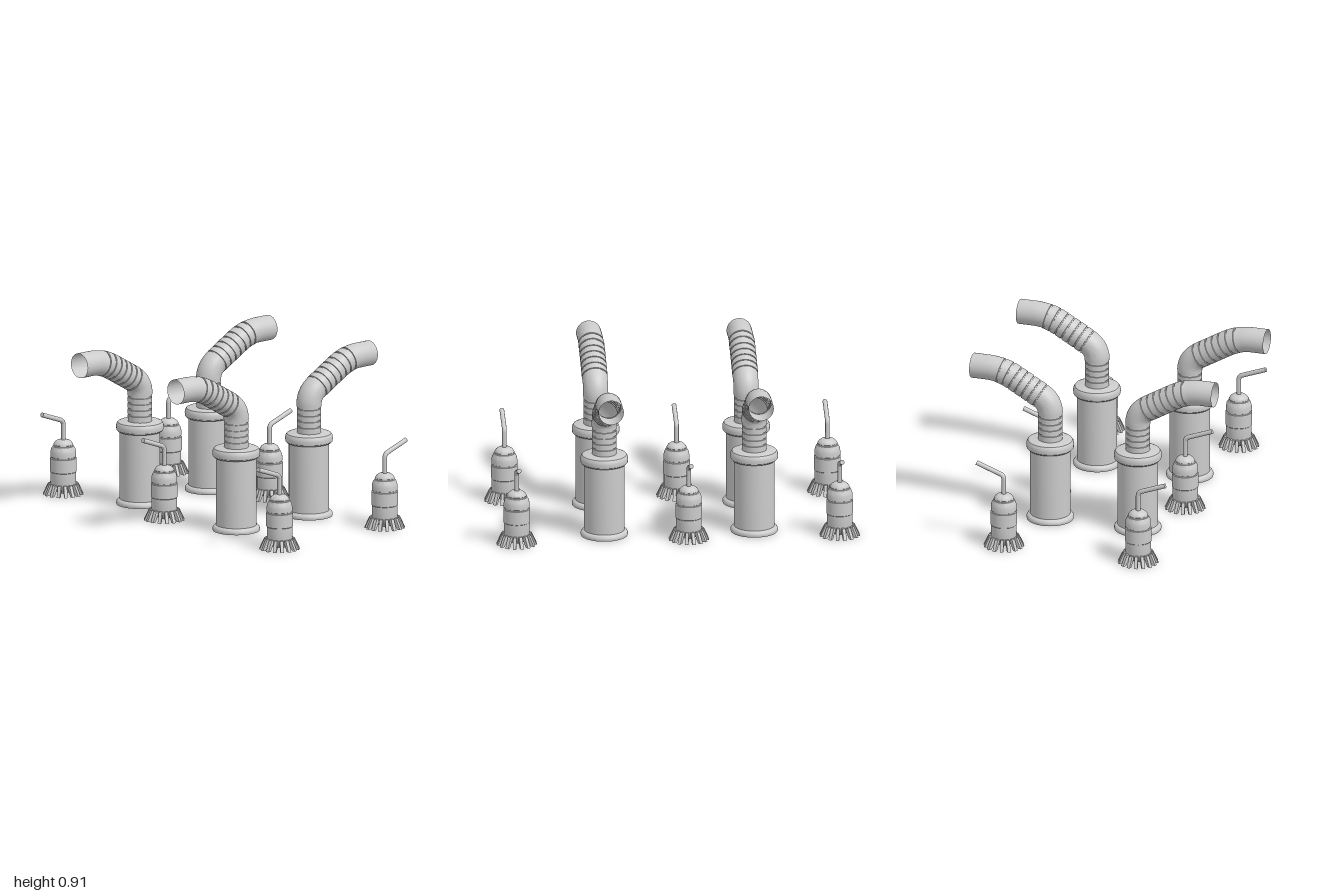
import * as THREE from 'three';
import { toCreasedNormals } from 'three/addons/utils/BufferGeometryUtils.js';

const material = new THREE.MeshStandardMaterial({ color: 0xcccccc });
const openMaterial = new THREE.MeshStandardMaterial({ color: 0xcccccc, side: THREE.DoubleSide });

function addMesh(parent, name, geometry, mat = material) {
  const mesh = new THREE.Mesh(geometry, mat);
  mesh.name = name;
  parent.add(mesh);
  return mesh;
}

// profile: [radius, height] pairs from bottom to top
const lathe = (profile, sides) =>
  new THREE.LatheGeometry(profile.map(([r, y]) => new THREE.Vector2(r, y)), sides);
const turned = (profile, sides = 40) => toCreasedNormals(lathe(profile, sides), 0.6);

// Bend an upright lathe along runs of [length, turn], leaning towards +z
function bentPipe(profile, runs, sides) {
  const geo = lathe(profile, sides);
  const pos = geo.attributes.position;
  for (let i = 0; i < pos.count; i++) {
    let s = pos.getY(i), y = 0, z = 0, a = 0;
    for (const [length, turn] of runs) {
      const d = Math.min(s, length);
      if (d <= 0) break;
      if (turn) {
        const R = length / turn, b = a + d / R;
        y += R * (Math.sin(b) - Math.sin(a));
        z += R * (Math.cos(a) - Math.cos(b));
        a = b;
      } else {
        y += d * Math.cos(a);
        z += d * Math.sin(a);
      }
      s -= d;
    }
    const n = pos.getZ(i);
    pos.setXYZ(i, pos.getX(i), y - n * Math.sin(a), z + n * Math.cos(a));
  }
  return toCreasedNormals(geo, 0.6);
}

// Ribbed hose profile: plain stretches with narrow grooves between bands
function hoseProfile(total) {
  const points = [[0.066, 0]];
  const groove = (s, r) => points.push([r, s - 0.005], [r - 0.005, s - 0.004], [r - 0.005, s + 0.002], [r, s + 0.003]);
  for (let i = 0; i < 4; i++) groove(0.055 + i * 0.034, 0.067);
  for (let s = 0.178; s < 0.28; s += 0.012) points.push([0.069, s]);
  for (let i = 0; i < 7; i++) {
    groove(0.29 + i * 0.042, 0.071);
  }
  for (let i = 0; i <= 8; i++) points.push([0.069, 0.56 + (total - 0.56) * i / 8]);
  return points;
}

function createVent() {
  const vent = new THREE.Group();
  vent.name = 'ventUnit';

  // drum with rounded flanges
  addMesh(vent, 'drum', turned([
    [0, 0], [0.128, 0], [0.13, 0.006], [0.129, 0.018], [0.122, 0.027], [0.111, 0.032],
    [0.111, 0.41], [0.122, 0.412], [0.129, 0.42], [0.131, 0.437], [0.129, 0.452],
    [0.122, 0.463], [0.11, 0.468], [0, 0.468],
  ], 48));

  // hose: upright, elbow, slope, elbow, open level mouth
  const runs = [[0.175, 0], [0.105, Math.PI / 3], [0.186, 0], [0.157, Math.PI / 6], [0.084, 0]];
  const hose = addMesh(vent, 'ribbedHose', bentPipe(hoseProfile(0.707), runs, 40), openMaterial);
  hose.position.y = 0.45;
  return vent;
}

function createPump() {
  const pump = new THREE.Group();
  pump.name = 'pumpUnit';

  // round-bottomed body, shoulder band and cap
  addMesh(pump, 'body', turned([
    [0, 0.004], [0.03, 0.009], [0.054, 0.024], [0.067, 0.045], [0.07, 0.06],
    [0.07, 0.125], [0.073, 0.128], [0.073, 0.203], [0.067, 0.205], [0.067, 0.21],
    [0.071, 0.212], [0.071, 0.235], [0.067, 0.254], [0.058, 0.27], [0.053, 0.272],
    [0.053, 0.277], [0.055, 0.279], [0.046, 0.293], [0.032, 0.303], [0, 0.307],
  ]));

  // ring of splayed strainer teeth
  const outline = new THREE.Shape([[0.06, 0.06], [0.084, 0.06], [0.112, 0], [0.092, 0], [0.066, 0.04]]
    .map(([x, y]) => new THREE.Vector2(x, y)));
  const tooth = new THREE.ExtrudeGeometry(outline, { depth: 0.018, bevelEnabled: false });
  tooth.translate(0, 0, -0.009);
  const teeth = new THREE.Group();
  teeth.name = 'strainerTeeth';
  const count = 16;
  for (let i = 0; i < count; i++) {
    addMesh(teeth, 'strainerTooth', tooth).rotation.y = (i + 0.5) * Math.PI * 2 / count;
  }
  pump.add(teeth);

  // bent outlet pipe
  const profile = [[0, 0], [0.013, 0]];
  for (let i = 0; i <= 8; i++) profile.push([0.013, 0.095 + 0.036 * i / 8]);
  profile.push([0.013, 0.277], [0, 0.277]);
  const spout = addMesh(pump, 'outletPipe', bentPipe(profile, [[0.095, 0], [0.036, 1.22], [0.15, 0]], 16));
  spout.position.y = 0.295;
  return pump;
}

export function createModel() {
  const model = new THREE.Group();
  model.name = 'ventsAndPumps';
  const place = (unit, x, z) => {
    unit.position.set(x, 0, z);
    if (z < 0) unit.rotation.y = Math.PI; // back row faces backwards
    model.add(unit);
  };

  // four vents in the middle
  for (const [x, z] of [[-0.43, 0.235], [0.395, 0.265], [-0.43, -0.27], [0.395, -0.27]]) {
    place(createVent(), x, z);
  }
  // two rows of three pumps
  for (const x of [-0.89, -0.06, 0.887]) {
    for (const z of [0.387, -0.387]) place(createPump(), x, z);
  }
  return model;
}
